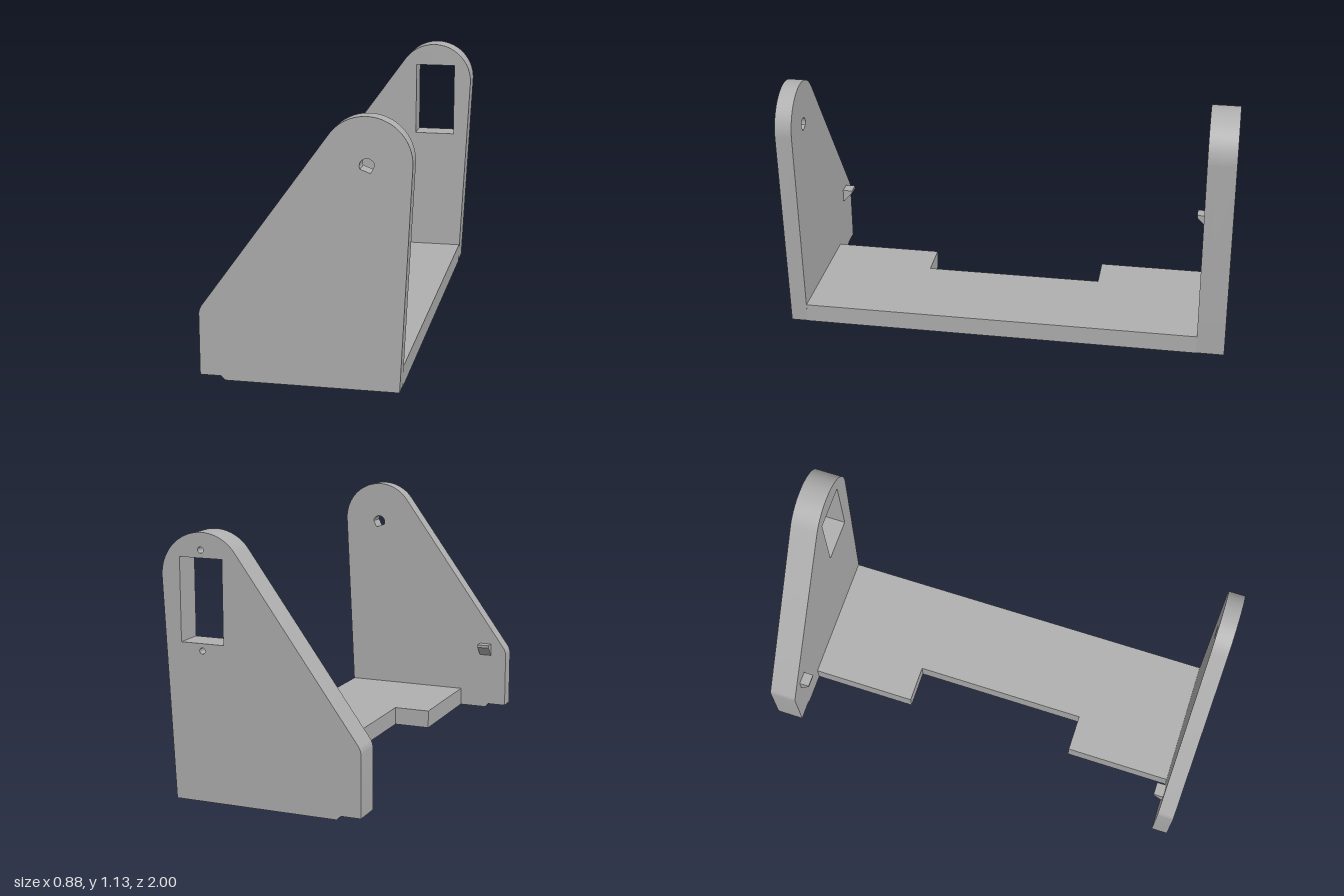
import * as THREE from 'three';
import { toCreasedNormals } from 'three/addons/utils/BufferGeometryUtils.js';

const grey = new THREE.MeshStandardMaterial({ color: 0xb0b0b0 });
grey.name = 'grey plastic';

const FRONT_INNER = 0.925, BACK_INNER = -0.875, MID_Z = 0.025;

function extrude(shape, depth) {
  return new THREE.ExtrudeGeometry(shape, { depth, bevelEnabled: false, curveSegments: 28 });
}

function part(name, geometry) {
  const mesh = new THREE.Mesh(toCreasedNormals(geometry, 0.5), grey);
  mesh.name = name;
  return mesh;
}

// Tapered upright with a rounded top and a small step under the foot
function uprightShape(holes) {
  const s = new THREE.Shape();
  s.moveTo(-0.443, 0.018);
  s.lineTo(-0.355, 0.018);
  s.lineTo(-0.337, 0);
  s.lineTo(0.395, 0);
  s.absarc(0.255, 0.95, 0.185, -0.047, 2.515, false);
  s.lineTo(-0.43, 0.32);
  s.quadraticCurveTo(-0.443, 0.302, -0.443, 0.28);
  s.closePath();
  s.holes.push(...holes);
  return s;
}

function circleHole(x, y, r) {
  return new THREE.Path().absarc(x, y, r, 0, Math.PI * 2, true);
}

// Plan of the floor, drawn as (x, z), with a notch in its left edge
function floorShape(holes) {
  const s = new THREE.Shape([
    [-0.205, BACK_INNER], [0.397, BACK_INNER], [0.397, FRONT_INNER], [-0.205, FRONT_INNER],
    [-0.205, 0.43], [-0.032, 0.43], [-0.032, -0.385], [-0.205, -0.385],
  ].map(([x, z]) => new THREE.Vector2(x, z)));
  s.holes.push(...holes);
  return s;
}

// Slot running along x; the big end has radius r1, the small end r2
function slotHole(x, z, r1, r2) {
  const a = Math.asin(r2 / r1);
  const p = new THREE.Path();
  p.absarc(x, z, r1, Math.PI + a, Math.PI - a, false);
  p.absarc(x - 0.15, z, r2, Math.PI / 2, Math.PI * 1.5, false);
  p.closePath();
  return p;
}

function floorLayer(name, bottom, top, holes) {
  const g = extrude(floorShape(holes), top - bottom);
  g.rotateX(Math.PI / 2);
  g.translate(0, top, 0);
  return part(name, g);
}

// Wedge catch: profile in (outward, y), extruded along x
function catchWedge(name, z, dir) {
  const s = new THREE.Shape([
    [0, 0.275], [0.045, 0.322], [0.045, 0.335], [0, 0.335],
  ].map(([o, y]) => new THREE.Vector2(o, y)));
  const g = extrude(s, 0.06);
  g.translate(0, 0, -0.03);
  g.rotateY(dir > 0 ? -Math.PI / 2 : Math.PI / 2);
  g.translate(-0.335, 0, z);
  return part(name, g);
}

export function createModel() {
  const model = new THREE.Group();
  model.name = 'bracket';

  // Front upright with a D-shaped shaft hole
  const dHole = new THREE.Path();
  dHole.absarc(0.258, 0.936, 0.031, 0.1, 3.56, false);
  dHole.lineTo(0.272, 0.908);
  dHole.closePath();
  const front = part('frontUpright', extrude(uprightShape([dHole]), 1 - FRONT_INNER));
  front.position.z = FRONT_INNER;
  model.add(front);

  // Back upright: window through both layers, blind screw holes in the outer one
  const back = new THREE.Group();
  back.name = 'backUpright';
  const windowHole = () => new THREE.Path([
    [0.163, 0.676], [0.163, 1.03], [0.357, 1.03], [0.357, 0.676],
  ].map(([x, y]) => new THREE.Vector2(x, y)));
  const screws = [0.645, 1.063].map((y) => circleHole(0.26, y, 0.013));
  const outer = part('outerLayer', extrude(uprightShape([windowHole(), ...screws]), 0.085));
  outer.position.z = -1;
  const inner = part('innerLayer', extrude(uprightShape([windowHole()]), 0.04));
  inner.position.z = -0.915;
  back.add(outer, inner);
  model.add(back);

  // Floor: keyhole openings below, wider screw-head slots above them, solid top
  const floor = new THREE.Group();
  floor.name = 'floor';
  const keys = [];
  for (const side of [-1, 1]) {
    keys.push([0.238, MID_Z + side * 0.735], [0.037, MID_Z + side * 0.485]);
  }
  floor.add(
    floorLayer('keyholeLayer', 0, 0.025, keys.map(([x, z]) => slotHole(x, z, 0.066, 0.032))),
    floorLayer('screwHeadLayer', 0.025, 0.06, keys.map(([x, z]) => slotHole(x, z, 0.066, 0.055))),
    floorLayer('topLayer', 0.06, 0.085, []),
  );
  model.add(floor);

  // Catches on the inner faces
  model.add(catchWedge('frontCatch', FRONT_INNER, -1), catchWedge('backCatch', BACK_INNER, 1));
  return model;
}
